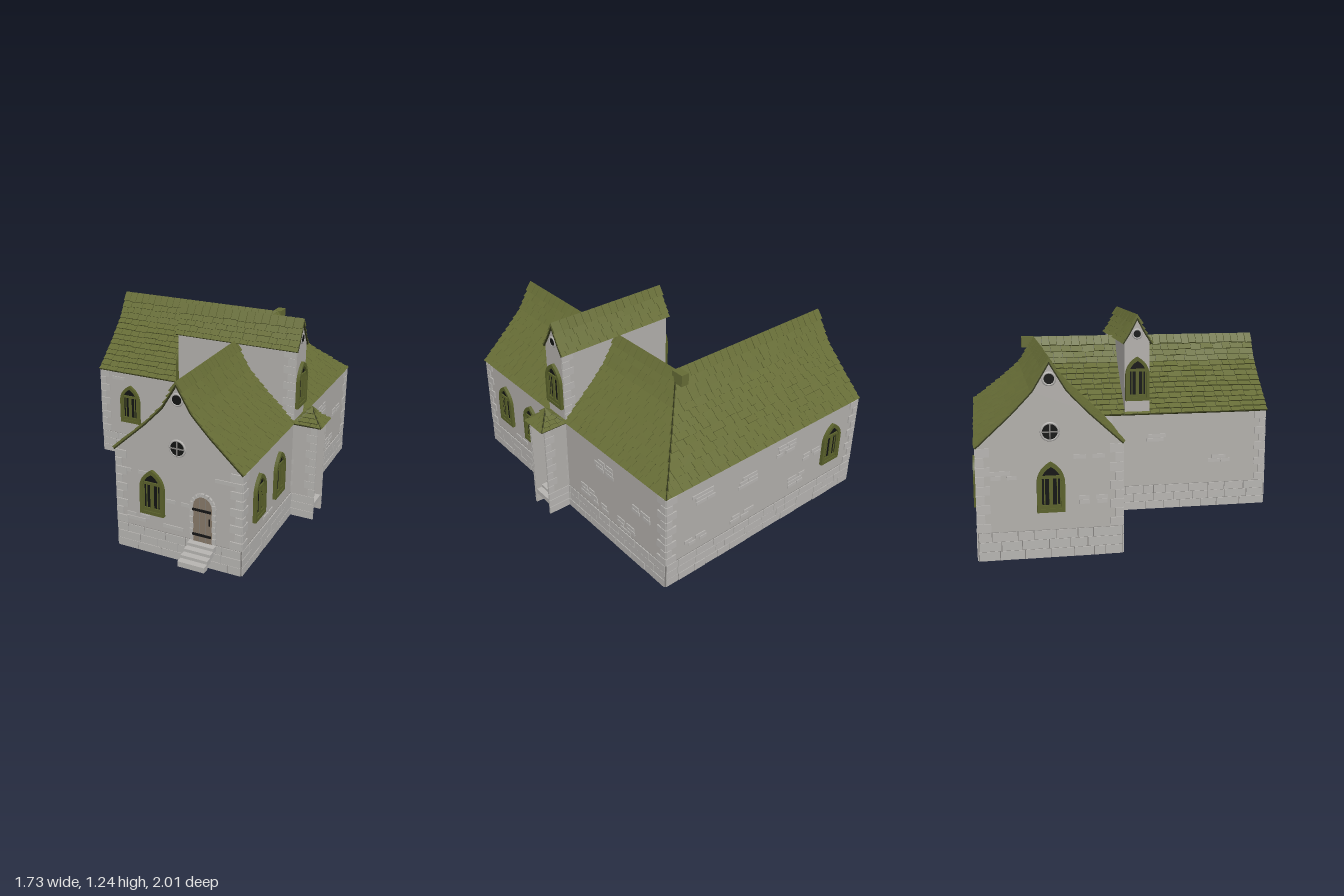
import * as THREE from 'three';
import { mergeGeometries } from 'three/addons/utils/BufferGeometryUtils.js';

const mat = (name, color, side = THREE.FrontSide) => {
  const m = new THREE.MeshStandardMaterial({ color, side });
  m.name = name;
  return m;
};

export function createModel() {
  const M = {
    plaster: mat('plaster', 0xb2afab, THREE.DoubleSide),
    stone: mat('stone', 0xb6b4b1),
    mortar: mat('mortar', 0x858380),
    tile: mat('roof tile', 0x656b35),
    under: mat('roof underlay', 0x33371a),
    frame: mat('window frame', 0x5a612b),
    glass: mat('dark glass', 0x121312),
    wood: mat('door wood', 0x857868),
    iron: mat('iron', 0x141414),
  };
  let seed = 7;
  const rnd = () => (seed = (seed * 16807) % 2147483647) / 2147483647;
  const model = new THREE.Group();
  model.name = 'house';

  const add = (parent, name, geo, material) => {
    const m = new THREE.Mesh(geo, material);
    m.name = name;
    parent.add(m);
    return m;
  };
  // one merged mesh from [x, y, z, w, h, d, roll] boxes
  const boxes = (parent, name, material, list) => add(parent, name, mergeGeometries(list.map(
    ([x, y, z, w, h, d, roll = 0]) => new THREE.BoxGeometry(w, h, d).rotateZ(roll).translate(x, y, z))), material);
  const extrude = (shape, depth, z = 0) =>
    new THREE.ExtrudeGeometry(shape, { depth, bevelEnabled: false, curveSegments: 8 }).translate(0, 0, z);

  // ---------- roofs: courses of overlapping tiles on a bent slope ----------
  const MAIN = [[0, 1.055], [0.09, 0.905], [0.2, 0.79], [0.39, 0.615]];
  const TOWER = [[0, 1.215], [0.045, 1.13], [0.09, 1.06]];
  const PORCH = [[0, 0.695], [0.04, 0.65], [0.085, 0.61]];

  const sampler = (profile) => {
    const len = profile.slice(1).map((p, i) => Math.hypot(p[0] - profile[i][0], p[1] - profile[i][1]));
    const total = len.reduce((a, b) => a + b, 0);
    const at = (s, t) => {
      let r = Math.min(Math.max(s, 0), 1) * total, i = 0;
      while (i < len.length - 1 && r > len[i]) r -= len[i++];
      const [a, b] = [profile[i], profile[i + 1]];
      const dx = (b[0] - a[0]) / len[i], dy = (b[1] - a[1]) / len[i];
      if (s <= 0) return [0, a[1] + t / dx];
      return [a[0] + dx * r - dy * t, a[1] + dy * r + dx * t];
    };
    return { at, total };
  };
  const QUADS = [[0, 1, 2, 3], [4, 5, 6, 7], [0, 1, 5, 4], [1, 2, 6, 5], [2, 3, 7, 6], [3, 0, 4, 7]];
  const hexa = (out, c) => {
    const mid = c.reduce((a, p) => a.add(p), new THREE.Vector3()).divideScalar(8);
    for (const q of QUADS) {
      let [a, b, d, e] = q.map((i) => c[i]);
      const n = d.clone().sub(a).cross(e.clone().sub(b));
      const f = a.clone().add(b).add(d).add(e).divideScalar(4).sub(mid);
      if (n.dot(f) < 0) [b, e] = [e, b];
      for (const p of [a, b, d, a, d, e]) out.push(p.x, p.y, p.z);
    }
  };
  const toGeo = (pos) => {
    const g = new THREE.BufferGeometry();
    g.setAttribute('position', new THREE.Float32BufferAttribute(pos, 3));
    g.computeVertexNormals();
    return g;
  };
  // place(d, y, u) gives the world point; lo(d) and hi(d) bound each course
  const slope = (parent, name, profile, rows, width, place, lo, hi) => {
    const { at, total } = sampler(profile), tiles = [], sheet = [];
    const slab = (out, s0, s1, u0, u1, t0, t1, base) => {
      const pt = (s, u, t) => {
        const d0 = at(s, 0)[0], [d, y] = at(s, t);
        return place(d, y, Math.min(Math.max(u, lo(d0)), hi(d0)));
      };
      hexa(out, [pt(s0, u0, base), pt(s0, u1, base), pt(s1, u1, base), pt(s1, u0, base),
        pt(s0, u0, t0), pt(s0, u1, t0), pt(s1, u1, t1), pt(s1, u0, t1)]);
    };
    for (let r = 0; r < rows; r++) {
      const s0 = r / rows, s1 = (r + 1) / rows;
      const d0 = at(s0, 0)[0], d1 = at(s1, 0)[0];
      const a = Math.min(lo(d0), lo(d1)), b = Math.max(hi(d0), hi(d1));
      slab(sheet, s0, s1, a, b, 0.003, 0.003, -0.004);
      for (let u = a; u < b - 0.004;) {
        let w = width * (r ? 0.7 + 0.7 * rnd() : 0.75);
        if (b - u - w < width * 0.4) w = b - u;
        const lap = (0.002 + 0.008 * rnd()) / total, lift = (r ? 0.012 : 0.016) + 0.005 * rnd();
        slab(tiles, s0, s1 + lap, u + 0.0015, u + w - 0.0015, r ? 0.004 : 0.012, lift, 0);
        u += w;
      }
    }
    add(parent, name + ' tiles', toGeo(tiles), M.tile);
    add(parent, name + ' underlay', toGeo(sheet), M.under);
  };
  const V = (x, y, z) => new THREE.Vector3(x, y, z);
  const RX = 0.295, RZ = -0.6;
  const roof = new THREE.Group();
  roof.name = 'roof';
  model.add(roof);
  slope(roof, 'front wing right slope', MAIN, 14, 0.065, (d, y, u) => V(RX + d, y, u), (d) => RZ - d, () => 0.86);
  slope(roof, 'front wing left slope', MAIN, 14, 0.065, (d, y, u) => V(RX - d, y, u), (d) => RZ + d, () => 0.86);
  slope(roof, 'side wing back slope', MAIN, 14, 0.065, (d, y, u) => V(u, y, RZ - d), () => -0.86, (d) => RX + d);
  slope(roof, 'side wing front slope', MAIN, 14, 0.065, (d, y, u) => V(u, y, RZ + d), () => -0.86, (d) => RX - d);
  for (const s of [-1, 1]) {
    slope(roof, 'tower slope', TOWER, 5, 0.065, (d, y, u) => V(u, y, 0.01 + s * d), () => -0.1, () => 0.69);
    slope(roof, 'porch slope across', PORCH, 4, 0.05, (d, y, u) => V(0.765 + s * d, y, 0.01 + u), (d) => -d, (d) => d);
    slope(roof, 'porch slope along', PORCH, 4, 0.05, (d, y, u) => V(0.765 + u, y, 0.01 + s * d), (d) => -d, (d) => d);
  }
  // ridge cap running on past the corner
  boxes(roof, 'ridge end cap', M.tile, [[RX, 1.045, -0.64, 0.05, 0.07, 0.08]]);

  // ---------- windows and doors, built facing +z ----------
  const arch = (w, h, spring, pointed, inset = 0) => {
    const s = new THREE.Shape(), a = w / 2 - inset, top = h - inset * 1.3;
    s.moveTo(-a, inset).lineTo(a, inset).lineTo(a, spring);
    if (pointed) {
      s.quadraticCurveTo(a * 0.9, spring + (top - spring) * 0.65, 0, top);
      s.quadraticCurveTo(-a * 0.9, spring + (top - spring) * 0.65, -a, spring);
    } else s.absellipse(0, spring, a, top - spring, 0, Math.PI);
    return s;
  };
  const place = (parent, name, x, y) => {
    const g = new THREE.Group();
    g.name = name;
    g.position.set(x, y, 0);
    parent.add(g);
    return g;
  };
  const archWindow = (wall, x, y) => {
    const g = place(wall, 'arched window', x, y);
    const outer = arch(0.15, 0.275, 0.17, true);
    outer.holes.push(arch(0.15, 0.275, 0.17, true, 0.02));
    add(g, 'frame', extrude(outer, 0.034, -0.014), M.frame);
    add(g, 'glass', extrude(arch(0.15, 0.275, 0.17, true, 0.015), 0.014, -0.007), M.glass);
    const bars = [[0, 0.192, 0, 0.12, 0.016, 0.03], [0, 0.1, 0, 0.02, 0.18, 0.03], [0, 0.03, 0, 0.12, 0.02, 0.03]];
    for (const s of [-1, 1]) bars.push([s * 0.034, 0.1, 0, 0.006, 0.18, 0.022], [s * 0.053, 0.1, 0, 0.01, 0.18, 0.026]);
    boxes(g, 'casement bars', M.frame, bars);
  };
  const roundWindow = (wall, x, y, r, cross) => {
    const g = place(wall, 'round window', x, y);
    add(g, 'ring', new THREE.TorusGeometry(r, 0.007, 6, 20), M.stone);
    add(g, 'glass', new THREE.CylinderGeometry(r, r, 0.008, 20).rotateX(Math.PI / 2), M.glass);
    if (cross) boxes(g, 'cross bars', M.mortar, [[0, 0, 0.004, 2 * r, 0.007, 0.008], [0, 0, 0.004, 0.007, 2 * r, 0.008]]);
  };
  const door = (wall, x, y) => {
    const g = place(wall, 'door', x, y);
    add(g, 'leaf', extrude(arch(0.115, 0.28, 0.215, false), 0.01), M.wood);
    boxes(g, 'plank seams', M.mortar, [-0.02, 0.02].map((s) => [s, 0.135, 0.01, 0.003, 0.26, 0.002]));
    boxes(g, 'hinges', M.iron, [0.045, 0.198].map((h) => [-0.004, h, 0.013, 0.11, 0.013, 0.008]));
    boxes(g, 'handle', M.iron, [[0.042, 0.135, 0.014, 0.007, 0.04, 0.008]]);
    const stones = [];
    for (let i = 0; i < 6; i++) for (const s of [-1, 1])
      stones.push([s * (0.066 + 0.003 * (i % 2)), 0.02 + i * 0.037, 0.006, 0.02, 0.032, 0.014]);
    for (let i = 0; i < 9; i++) {
      const a = (Math.PI * (i + 0.5)) / 9;
      stones.push([Math.cos(a) * 0.066, 0.217 + Math.sin(a) * 0.072, 0.006, 0.02, 0.02, 0.014, a]);
    }
    boxes(g, 'stone surround', M.stone, stones);
  };
  const steps = (wall, x, w, run) => boxes(wall, 'steps', M.stone, [0, 1, 2, 3].map(
    (i) => [x, 0.138 - i * 0.018, (i + 0.5) * run / 4, w, 0.032, run / 4 + 0.004]));

  // ---------- walls: local x runs along the wall, local z points outward ----------
  const wall = (name, x, z, turn, u0, u1, gableAt) => {
    const g = new THREE.Group();
    g.name = name;
    g.position.set(x, 0, z);
    g.rotation.y = turn;
    model.add(g);
    const pts = [[u0, 0], [u1, 0], [u1, 0.615]];
    if (gableAt !== undefined) {
      const p = MAIN.slice(0, 3);
      pts.push(...p.slice().reverse().map(([d, y]) => [gableAt + d, y]), ...p.slice(1).map(([d, y]) => [gableAt - d, y]));
    }
    pts.push([u0, 0.615]);
    add(g, 'plaster wall', new THREE.ShapeGeometry(new THREE.Shape(pts.map((p) => new THREE.Vector2(...p)))), M.plaster);
    boxes(g, 'base mortar', M.mortar, [[(u0 + u1) / 2, 0.078, 0.002, u1 - u0, 0.156, 0.003]]);
    const base = [], quoins = [];
    for (let r = 0; r < 3; r++) for (let u = u0; u < u1 - 0.001;) {
      let w = 0.06 + 0.1 * rnd();
      if (u1 - u - w < 0.05) w = u1 - u;
      base.push([u + w / 2, 0.026 + r * 0.052, 0.003, w - 0.004, 0.049, 0.008 + 0.006 * rnd()]);
      u += w;
    }
    for (let i = 0; i < 9; i++) for (const [e, s] of [[u0, 1], [u1, -1]]) {
      const w = i % 2 ? 0.04 : 0.07;
      quoins.push([e + s * (w / 2 - 0.003), 0.182 + i * 0.051, 0.002, w, 0.046, 0.012]);
    }
    boxes(g, 'base stones', M.stone, base);
    boxes(g, 'corner quoins', M.stone, quoins);
    return g;
  };
  // small clusters of exposed bricks at [u, y, courses]
  const bricks = (g, spots) => {
    const list = [];
    for (const [u, y, n] of spots) for (let r = 0; r < n; r++) for (let k = 0; k < 2; k++) {
      const w = 0.05 + 0.03 * rnd();
      list.push([u + k * 0.075 + 0.05 * (rnd() - 0.5), y + r * 0.026, 0.001, w, 0.021, 0.009]);
    }
    boxes(g, 'exposed bricks', M.stone, list);
  };

  const H = Math.PI / 2;
  const front = wall('front gable wall', 0, 0.845, 0, -0.088, 0.678, RX);
  archWindow(front, 0.14, 0.255);
  roundWindow(front, RX, 0.69, 0.046, true);
  roundWindow(front, RX, 0.97, 0.032, false);
  door(front, 0.45, 0.157);
  steps(front, 0.45, 0.16, 0.155);
  bricks(front, [[0.0, 0.5, 1], [0.27, 0.36, 1], [0.55, 0.55, 1], [0.0, 0.2, 2], [0.24, 0.2, 1]]);

  const right = wall('right wall', 0.678, 0, H, -0.845, 0.985);
  archWindow(right, -0.62, 0.255);
  archWindow(right, -0.32, 0.255);
  door(right, -0.01, 0.157);
  bricks(right, [[0.4, 0.47, 3], [0.24, 0.2, 3], [0.36, 0.19, 2], [0.6, 0.17, 3], [-0.5, 0.2, 1], [0.75, 0.37, 2]]);

  const back = wall('back wall', 0, -0.985, Math.PI, -0.678, 0.85);
  archWindow(back, 0.63, 0.255);
  bricks(back, [[-0.45, 0.48, 3], [-0.1, 0.42, 3], [0.2, 0.5, 3], [0.3, 0.22, 3], [-0.5, 0.22, 2], [-0.15, 0.2, 2], [0.42, 0.37, 2]]);

  const end = wall('side gable wall', -0.85, 0, -H, -0.985, -0.215, RZ);
  archWindow(end, RZ, 0.255);
  roundWindow(end, RZ, 0.69, 0.046, true);
  roundWindow(end, RZ, 0.97, 0.032, false);
  bricks(end, [[-0.9, 0.45, 2], [-0.4, 0.3, 2], [-0.42, 0.55, 1]]);

  const sideFront = wall('side wing front wall', 0, -0.215, 0, -0.85, -0.088);
  archWindow(sideFront, -0.62, 0.255);
  bricks(sideFront, [[-0.42, 0.36, 1], [-0.3, 0.46, 1], [-0.32, 0.2, 2], [-0.75, 0.57, 1]]);
  const inner = wall('front wing left wall', -0.088, 0, -H, -0.215, 0.845);
  bricks(inner, [[0.1, 0.45, 2], [0.5, 0.3, 2]]);

  // ---------- tower across the front wing ----------
  const tower = new THREE.Group();
  tower.name = 'tower';
  tower.position.set(0, 0, 0.01);
  model.add(tower);
  const outline = [[-0.078, 0.58], [0.078, 0.58], [0.078, 1.07], [0.045, 1.13], [0, 1.21], [-0.045, 1.13], [-0.078, 1.07]];
  add(tower, 'tower walls', extrude(new THREE.Shape(outline.map((p) => new THREE.Vector2(...p))), 0.768)
    .rotateY(H).translate(-0.086, 0, 0), M.plaster);
  for (const s of [-1, 1]) {
    const face = new THREE.Group();
    face.name = 'tower gable';
    face.position.x = s > 0 ? 0.682 : -0.086;
    face.rotation.y = s * H;
    tower.add(face);
    archWindow(face, 0, 0.705);
    roundWindow(face, 0, 1.12, 0.027, false);
    const q = [];
    for (let i = 0; i < 9; i++) q.push([i % 2 ? 0.655 : 0.642, 0.65 + i * 0.049, s * 0.078, i % 2 ? 0.05 : 0.076, 0.044, 0.01]);
    boxes(tower, 'tower quoins', M.stone, q);
  }

  // ---------- open porch on the right ----------
  const porch = new THREE.Group();
  porch.name = 'porch';
  porch.position.set(0.678, 0, 0.01);
  model.add(porch);
  for (const s of [-1, 1]) {
    boxes(porch, 'porch side wall', M.plaster, [[0.075, 0.307, s * 0.074, 0.15, 0.614, 0.01]]);
    const q = [];
    for (let i = 0; i < 12; i++) {
      const w = i < 3 ? 0.146 : i % 2 ? 0.04 : 0.065;
      q.push([0.152 - w / 2, 0.026 + i * 0.051, s * 0.078, w, 0.047, 0.01]);
    }
    boxes(porch, 'porch quoins', M.stone, q);
  }
  const porchSteps = new THREE.Group();
  porchSteps.name = 'porch steps';
  porchSteps.rotation.y = H;
  porch.add(porchSteps);
  steps(porchSteps, 0, 0.136, 0.145);

  return model;
}
